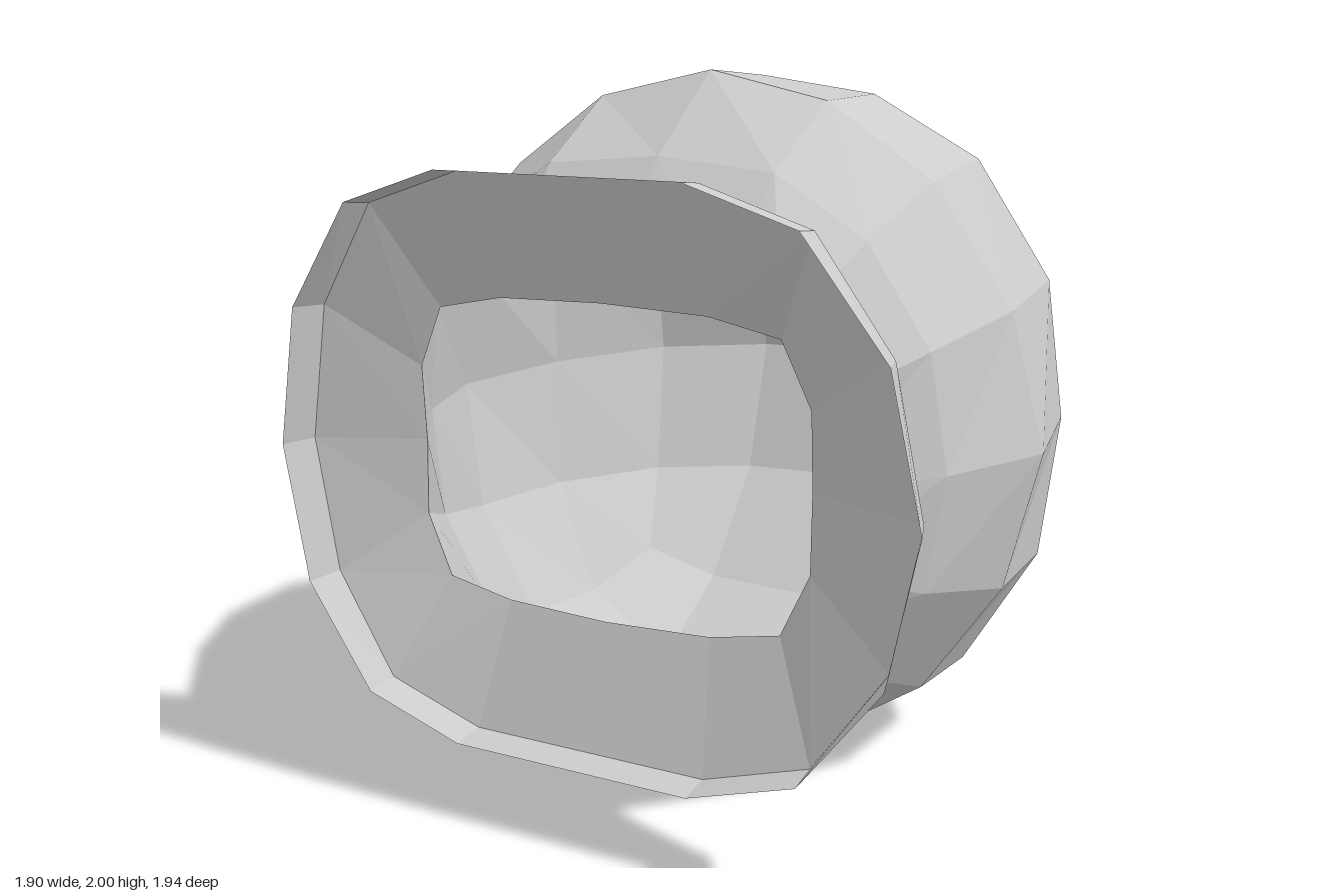
import * as THREE from 'three';

const CY = 1.005; // height of the pot's axis

// Place a point; the crown and base lean slightly toward -x
const place = (x, y, z) =>
  new THREE.Vector3(x - 0.035 * (1 - Math.min(1, Math.abs(x / 0.95)) ** 4), CY + y, z);

// Mirror five points (side middle, side quarter, corner, top quarter, top middle)
// into a closed ring of sixteen
function ring(q) {
  const pts = [];
  for (let i = 0; i < 16; i++) {
    const k = i % 8 <= 4 ? i % 8 : 8 - (i % 8);
    const up = i <= 8;
    const right = i <= 4 || i >= 12;
    const j = up ? (i <= 4 ? i : 8 - i) : k;
    const [x, y, z] = q[j];
    pts.push(place(right ? x : -x, up ? y : -y, z));
  }
  return pts;
}

// Rings from front to back
const lipFront = ring([[0.935, 0, 0.97], [0.86, 0.385, 0.97], [0.65, 0.675, 0.97], [0.352, 0.77, 0.97], [0, 0.77, 0.97]]);
const lipBack = ring([[0.905, 0, 0.87], [0.835, 0.38, 0.87], [0.645, 0.665, 0.875], [0.35, 0.76, 0.875], [0, 0.76, 0.875]]);
const neck = ring([[0.588, 0, 0.745], [0.588, 0.21, 0.755], [0.51, 0.38, 0.76], [0.31, 0.42, 0.76], [0, 0.43, 0.765]]);
const shoulder = ring([[0.815, 0, 0.45], [0.77, 0.32, 0.46], [0.6, 0.59, 0.46], [0.345, 0.75, 0.46], [0, 0.78, 0.46]]);
const belly = ring([[0.95, 0, 0.12], [0.87, 0.385, 0.15], [0.66, 0.715, 0.16], [0.357, 0.92, 0.16], [0, 0.9975, 0.16]]);
const haunch = ring([[0.88, 0, -0.31], [0.845, 0.41, -0.26], [0.66, 0.75, -0.19], [0.355, 0.925, -0.17], [0, 0.973, -0.17]]);
const baseEdge = ring([[0.67, 0, -0.7], [0.645, 0.42, -0.61], [0.58, 0.66, -0.44], [0.355, 0.745, -0.495], [0, 0.76, -0.5]]);

function quadMesh(name, quads) {
  const pts = [];
  for (const [a, b, c, d] of quads) pts.push(a, b, c, a, c, d);
  const geometry = new THREE.BufferGeometry().setFromPoints(pts);
  geometry.computeVertexNormals();
  const mesh = new THREE.Mesh(geometry, new THREE.MeshStandardMaterial({
    color: 0xcccccc, flatShading: true, side: THREE.DoubleSide,
  }));
  mesh.name = name;
  return mesh;
}

// Skin a series of rings
function loft(name, rings) {
  const quads = [];
  for (let r = 0; r + 1 < rings.length; r++) {
    const a = rings[r], b = rings[r + 1];
    for (let i = 0; i < 16; i++) {
      const n = (i + 1) % 16;
      quads.push([a[i], b[i], b[n], a[n]]);
    }
  }
  return quadMesh(name, quads);
}

// Rounded back: a four by four grid bounded by the base edge ring
function backCap() {
  const at = (r, c) => {
    if (r === 0) return baseEdge[2 + c];
    if (r === 4) return baseEdge[14 - c];
    if (c === 0) return baseEdge[(18 - r) % 16];
    if (c === 4) return baseEdge[6 + r];
    const mid = c === 2;
    const z = r === 2 ? (mid ? -0.97 : -0.91) : (mid ? -0.82 : -0.78);
    return place((2 - c) * 0.358, (2 - r) * 0.42, z);
  };
  const quads = [];
  for (let r = 0; r < 4; r++)
    for (let c = 0; c < 4; c++)
      quads.push([at(r, c), at(r + 1, c), at(r + 1, c + 1), at(r, c + 1)]);
  return quadMesh('roundedBack', quads);
}

export function createModel() {
  const group = new THREE.Group();
  group.name = 'openPot';
  group.add(
    loft('lipBand', [lipFront, lipBack]),
    loft('flaredMouth', [lipBack, neck]),
    loft('body', [neck, shoulder, belly, haunch, baseEdge]),
    backCap(),
  );
  return group;
}
